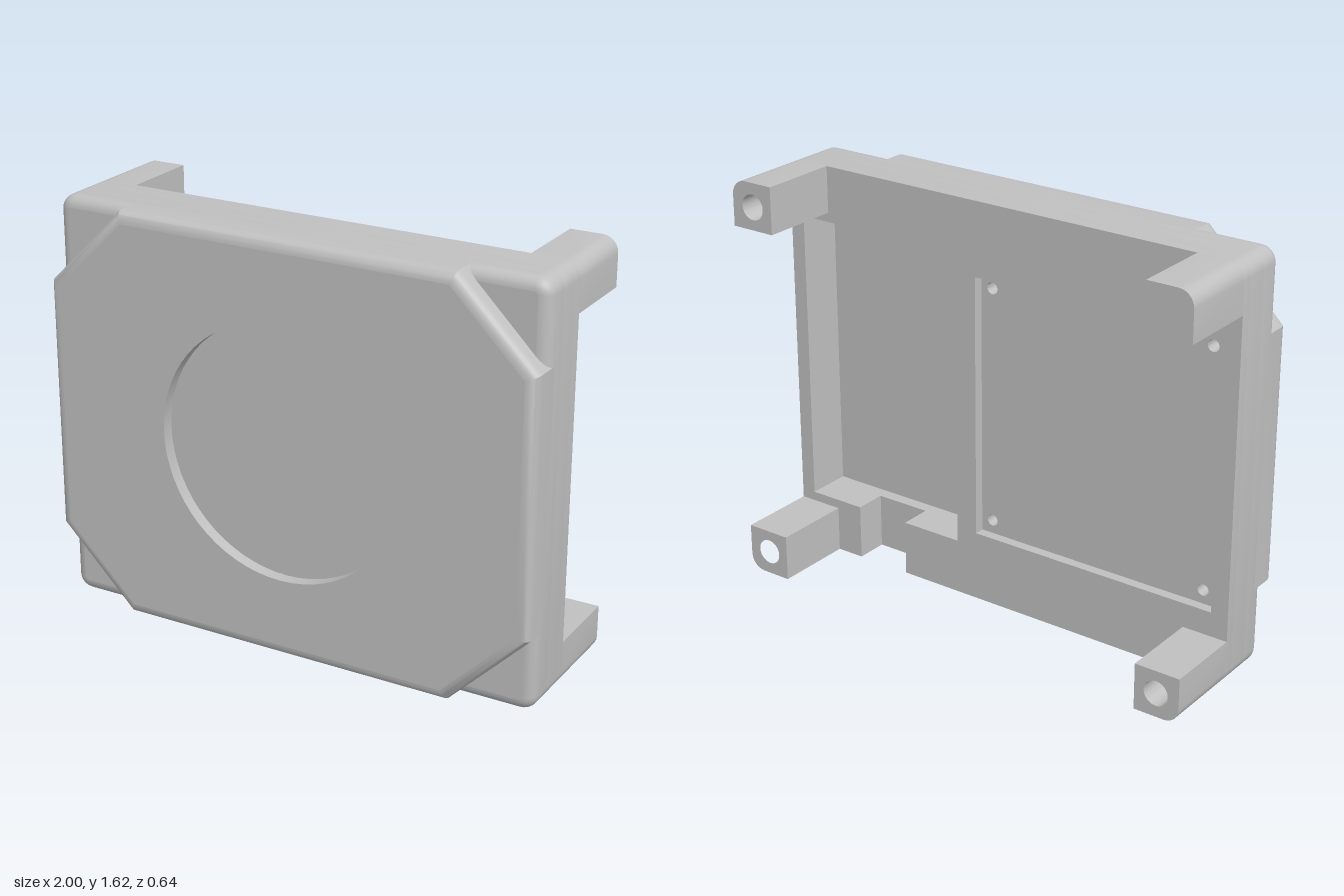
import * as THREE from 'three';
import { toCreasedNormals } from 'three/addons/utils/BufferGeometryUtils.js';

const HW = 1, HH = 0.8125, CORNER = 0.06, FILLET = 0.045;
const V = (x, y) => new THREE.Vector2(x, y);

// Rounded rectangle outline, counter-clockwise, ending at the bottom left
function roundedRect(inset = 0) {
  const pts = [], r = CORNER - inset;
  [[1, -1], [1, 1], [-1, 1], [-1, -1]].forEach(([sx, sy], i) => {
    for (let k = 0; k <= 6; k++) {
      const a = (i - 1 + k / 6) * Math.PI / 2;
      pts.push(V(sx * (HW - CORNER) + r * Math.cos(a), sy * (HH - CORNER) + r * Math.sin(a)));
    }
  });
  return pts;
}

// Rectangle with 45 degree cut corners
function octagon(inset = 0) {
  const w = HW - inset, h = HH - inset, c = 0.315 - 0.586 * inset;
  return [V(w - c, -h), V(w, c - h), V(w, h - c), V(w - c, h),
    V(c - w, h), V(-w, h - c), V(-w, c - h), V(c - w, -h)];
}

function rectPath(x0, x1, y0, y1) {
  return new THREE.Path([V(x0, y0), V(x0, y1), V(x1, y1), V(x1, y0)]);
}

function circlePath(x, y, r) {
  return new THREE.Path().absarc(x, y, r, 0, Math.PI * 2, true);
}

// Flat slab between two depths, with optional holes
function slab(points, z0, z1, holes = []) {
  const shape = new THREE.Shape(points);
  shape.holes.push(...holes);
  const geo = new THREE.ExtrudeGeometry(shape, { depth: z1 - z0, bevelEnabled: false, curveSegments: 32 });
  return toCreasedNormals(geo.translate(0, 0, z0), 0.6);
}

// Side wall of an outline that ends in a quarter-round front edge
function filletWall(outline, z0, z1) {
  const rings = [[0, z0]], pos = [];
  for (let k = 0; k <= 6; k++) {
    const a = k / 6 * Math.PI / 2;
    rings.push([FILLET * (1 - Math.cos(a)), z1 - FILLET * (1 - Math.sin(a))]);
  }
  const loops = rings.map(([d, z]) => outline(d).map(p => [p.x, p.y, z]));
  for (let i = 0; i + 1 < loops.length; i++) {
    const n = loops[i].length;
    for (let j = 0; j < n; j++) {
      const k = (j + 1) % n;
      const a = loops[i][j], b = loops[i][k], c = loops[i + 1][k], d = loops[i + 1][j];
      pos.push(...a, ...b, ...c, ...a, ...c, ...d);
    }
  }
  const geo = new THREE.BufferGeometry();
  geo.setAttribute('position', new THREE.Float32BufferAttribute(pos, 3));
  return toCreasedNormals(geo, 0.6);
}

export function createModel() {
  const model = new THREE.Group();
  model.name = 'housing';
  const grey = new THREE.MeshStandardMaterial({ color: 0xc0c0c0 });
  grey.name = 'light grey';

  const add = (name, geo) => {
    const mesh = new THREE.Mesh(geo, grey);
    mesh.name = name;
    mesh.position.y = HH;
    model.add(mesh);
  };

  // Deep pocket on the left and the cable notch that opens it at the bottom
  const px0 = 0.21, px1 = 0.94, py0 = -0.59, py1 = 0.59;
  const notched = [...roundedRect(), V(0.47, -HH), V(0.47, py0), V(px0, py0), V(px0, py1),
    V(px1, py1), V(px1, py0), V(0.7, py0), V(0.7, -HH)];

  // Four screw holes in the floor of the shallow square pocket
  const screws = [];
  for (const x of [-0.87, 0.07]) for (const y of [-0.475, 0.475]) screws.push(circlePath(x, y, 0.023));

  // Body, layered from the back to the front
  add('backRim', slab(notched, 0, 0.04, [rectPath(-0.93, 0.12, -0.53, 0.52)]));
  add('screwPlate', slab(notched, 0.04, 0.13, screws));
  add('pocketWall', slab(roundedRect(), 0.13, 0.18, [rectPath(px0, px1, py0, py1)]));
  add('bodyFront', slab(roundedRect(FILLET), 0.18, 0.24));
  add('bodyEdge', filletWall(roundedRect, 0.18, 0.24));

  // Raised front panel with cut corners and a shallow round recess
  add('panelEdge', filletWall(octagon, 0.185, 0.32));
  add('recessFloor', slab(octagon(FILLET), 0.19, 0.27));
  add('frontPanel', slab(octagon(FILLET), 0.27, 0.32, [circlePath(0, 0.003, 0.5)]));

  // Corner legs: outer corner rounded, bored from the tip
  const leg = 0.185;
  for (const sx of [-1, 1]) for (const sy of [-1, 1]) {
    const pts = [V(sx * (HW - leg), sy * (HH - leg)), V(sx * HW, sy * (HH - leg))];
    for (let k = 0; k <= 6; k++) {
      const a = k / 6 * Math.PI / 2;
      pts.push(V(sx * (HW - CORNER + CORNER * Math.cos(a)), sy * (HH - CORNER + CORNER * Math.sin(a))));
    }
    pts.push(V(sx * (HW - leg), sy * HH));
    const bore = circlePath(sx * (HW - 0.095), sy * (HH - 0.095), 0.05);
    add((sy > 0 ? 'upper' : 'lower') + (sx > 0 ? 'Left' : 'Right') + 'Leg', slab(pts, -0.32, 0, [bore]));
  }
  return model;
}
